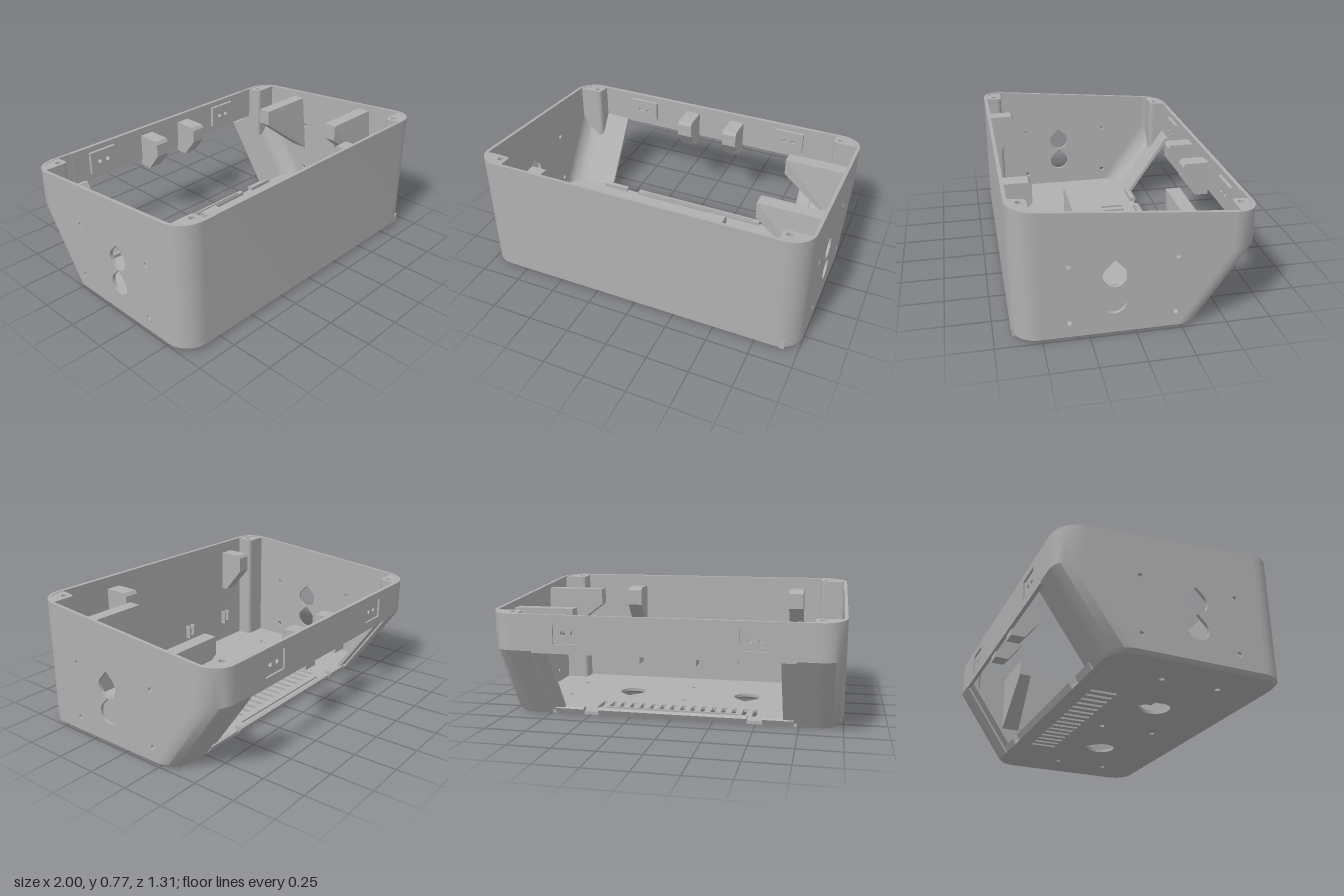
import * as THREE from 'three';
import { toCreasedNormals } from 'three/addons/utils/BufferGeometryUtils.js';
import { ConvexGeometry } from 'three/addons/geometries/ConvexGeometry.js';

const R = 0.14, T = 0.02, CX = 0.86, FZ = 0.515;
const topY = z => 0.7075 + z * 0.0878;                                // sloping rim
const backZ = y => -0.355 - 0.3 * Math.min(1, Math.max(0, y / 0.44)); // leaning back

export function createModel() {
  const model = new THREE.Group();
  const grey = new THREE.MeshStandardMaterial({ color: 0xb0b0b0, side: THREE.DoubleSide });
  grey.name = 'caseGrey';
  const add = (name, geometry, mirror = false) => {
    const mesh = new THREE.Mesh(geometry, grey);
    mesh.name = name;
    if (mirror) mesh.scale.x = -1;
    model.add(mesh);
    return mesh;
  };
  const both = (name, geometry) => { add(name + 'Left', geometry); add(name + 'Right', geometry, true); };
  const box = (name, x0, x1, y0, y1, z0, z1) =>
    add(name, new THREE.BoxGeometry(x1 - x0, y1 - y0, z1 - z0).translate((x0 + x1) / 2, (y0 + y1) / 2, (z0 + z1) / 2));
  const polygon = pts => new THREE.Shape(pts.map(p => new THREE.Vector2(...p)));
  const extrude = (shape, depth) =>
    new THREE.ExtrudeGeometry(shape, { depth, bevelEnabled: false, curveSegments: 12 });
  // (z, y) profile drawn out along x
  const alongX = (shape, x0, x1) => extrude(shape, x1 - x0).rotateY(-Math.PI / 2).translate(x1, 0, 0);
  const circle = (x, y, r) => new THREE.Path().absarc(x, y, r, 0, Math.PI * 2);
  const teardrop = (x, y, r) => {
    const p = new THREE.Path();
    p.absarc(x, y, r, Math.PI * 0.75, Math.PI * 2.25);
    p.lineTo(x, y + r * Math.SQRT2);
    p.closePath();
    return p;
  };
  const rect = (x0, x1, y0, y1) =>
    new THREE.Path([[x0, y0], [x1, y0], [x1, y1], [x0, y1], [x0, y0]].map(p => new THREE.Vector2(...p)));

  // Thin wall following a plan path, lofted through height levels
  const arc = (x, back, a0, a1, n = 12) => Array.from({ length: n + 1 }, (_, i) => {
    const a = a0 + (a1 - a0) * i / n;
    return { x, back, nx: Math.cos(a), nz: Math.sin(a) };
  });
  const wall = (path, levels) => {
    const point = (p, y, r) => {
      const level = y === 'top' ? 0.6 : y;
      const inset = level === 0 && r === R ? 0.02 : 0;
      const z = (p.back ? backZ(level) + R : FZ) + r * p.nz - inset * Math.max(p.nz, 0);
      return [p.x + r * p.nx - inset * p.nx, y === 'top' ? topY(z) : y, z];
    };
    const pos = [];
    const quad = (a, b, c, d) => pos.push(...a, ...b, ...c, ...a, ...c, ...d);
    const last = levels[levels.length - 1];
    for (let j = 0; j + 1 < levels.length; j++) {
      const [l, u] = [levels[j], levels[j + 1]];
      for (let i = 0; i + 1 < path.length; i++) {
        const [p, q] = [path[i], path[i + 1]];
        quad(point(p, l, R), point(p, u, R), point(q, u, R), point(q, l, R));
        quad(point(p, l, R - T), point(q, l, R - T), point(q, u, R - T), point(p, u, R - T));
      }
      for (const p of [path[0], path[path.length - 1]])
        quad(point(p, l, R), point(p, l, R - T), point(p, u, R - T), point(p, u, R));
    }
    for (let i = 0; i + 1 < path.length; i++) {
      const [p, q] = [path[i], path[i + 1]];
      quad(point(p, last, R), point(p, last, R - T), point(q, last, R - T), point(q, last, R));
    }
    const g = new THREE.BufferGeometry();
    g.setAttribute('position', new THREE.Float32BufferAttribute(pos, 3));
    return toCreasedNormals(g, 0.5);
  };

  // Outer shell: front with round corners, and back corners
  const H = Math.PI / 2;
  add('frontWall', wall([...arc(CX, false, 0, H), ...arc(-CX, false, H, 2 * H)], [0, 0.02, 'top']));
  // path reversed so outside faces stay outward
  both('backCorner', wall([{ x: 0.74, back: true, nx: 0, nz: -1 }, ...arc(CX, true, -H, 0)], [0, 0.02, 0.44, 'top']));
  both('sideChamfer', wall([{ x: CX, back: true, nx: 1, nz: 0 }, { x: CX, back: false, nx: 1, nz: 0 }], [0, 0.02]));

  // Side walls with teardrop and screw holes
  const side = polygon([[FZ, 0.02], [FZ, topY(FZ)], [backZ(1) + R, topY(backZ(1) + R)],
    [backZ(1) + R, 0.44], [backZ(0.02) + R, 0.02]]);
  side.holes.push(teardrop(0.12, 0.36, 0.065), teardrop(0.12, 0.2, 0.064));
  for (const z of [0.36, -0.21]) for (const y of [0.105, 0.44]) side.holes.push(circle(z, y, 0.014));
  both('sideWall', alongX(side, 0.98, 1));
  box('knockoutPanel', 0.974, 0.982, 0.125, 0.3, 0.045, 0.195);

  // Floor with vents, teardrops and screw holes (shape y is -z)
  const floor = new THREE.Shape();
  floor.absellipse(CX, 0.215, 0.12, 0.14, 0, H);
  floor.absellipse(-CX, 0.215, 0.12, 0.14, H, 2 * H);
  floor.absellipse(-CX, -FZ, 0.12, 0.12, 2 * H, 3 * H);
  floor.absellipse(CX, -FZ, 0.12, 0.12, 3 * H, 4 * H);
  for (const x of [-0.385, 0.385]) floor.holes.push(teardrop(x, -0.19, 0.083));
  for (const x of [-0.76, 0, 0.76]) for (const z of [0.025, 0.365]) floor.holes.push(circle(x, -z, 0.016));
  for (let i = 0; i < 16; i++) {
    const x = -0.48 + i * 0.064;
    floor.holes.push(rect(x - 0.013, x + 0.013, 0.105, 0.26));
  }
  add('floor', extrude(floor, 0.02).rotateX(-H));

  // Upper back wall with two recessed screw pads
  const back = polygon([[-0.74, 0.43], [0.74, 0.43], [0.74, 0.65], [-0.74, 0.65]]);
  for (const s of [-1, 1]) back.holes.push(rect(s * 0.525 - 0.085, s * 0.525 + 0.085, 0.485, 0.605));
  add('backWall', extrude(back, 0.022).translate(0, 0, -0.655));
  const pad = polygon([[0.43, 0.475], [0.62, 0.475], [0.62, 0.615], [0.43, 0.615]]);
  for (const x of [0.495, 0.555]) pad.holes.push(circle(x, 0.545, 0.014));
  both('screwPad', extrude(pad, 0.03).translate(0, 0, -0.643));

  // Frame of the leaning rear opening
  const strip = polygon([[backZ(0.02) + 0.015, 0.02], [backZ(0.44) + 0.015, 0.44],
    [backZ(0.44) + 0.04, 0.44], [backZ(0.02) + 0.04, 0.02]]);
  both('openingFrame', alongX(strip, 0.66, 0.745));
  const sill = polygon([[-0.33, 0.01], [-0.355, 0], [-0.375, 0.035], [-0.36, 0.045], [-0.33, 0.045]]);
  for (const [x0, x1] of [[-0.72, -0.54], [-0.45, 0.45], [0.54, 0.72]]) add('sill', alongX(sill, x0, x1));
  box('sillRidge', -0.4, 0.4, 0.02, 0.055, -0.345, -0.335);

  // Corner screw posts, cut to the rim and to the leaning wall
  const post = (name, sign) => {
    const s = new THREE.Shape();
    s.moveTo(0.83, 0.64);
    s.lineTo(0.83, 0.57);
    s.quadraticCurveTo(0.83, 0.54, 0.86, 0.54);
    s.lineTo(0.982, 0.54);
    s.absarc(CX, FZ, 0.125, 0.2, H);
    s.closePath();
    s.holes.push(circle(0.87, 0.58, 0.017));
    const g = extrude(s, 1).toNonIndexed ? extrude(s, 1) : null;
    const p = g.attributes.position;
    for (let i = 0; i < p.count; i++) {
      const x = p.getX(i), z = p.getY(i) * sign;
      const dx = Math.max(0, x - CX);
      const zb = z + Math.sqrt(Math.max(0, 0.125 ** 2 - dx * dx)) - R;
      const low = sign > 0 ? 0.01 : Math.min(0.5, (-zb - 0.355) * 0.44 / 0.3);
      p.setXYZ(i, x, p.getZ(i) > 0.5 ? topY(z) - 0.003 : low, z);
    }
    g.computeVertexNormals();
    both(name, g);
  };
  post('frontPost', 1);
  post('backPost', -1);

  // Wall hooks with sloping undersides
  const backHook = polygon([[-0.64, 0.6], [-0.49, 0.6], [-0.475, 0.58], [-0.475, 0.5], [-0.56, 0.39], [-0.64, 0.39]]);
  both('backHook', alongX(backHook, 0.112, 0.205));
  const frontHook = polygon([[0.64, 0.69], [0.49, 0.69], [0.475, 0.67], [0.475, 0.57], [0.6, 0.42], [0.64, 0.42]]);
  for (const x of [-0.72, 0.4]) add('frontHook', alongX(frontHook, x, x + 0.094));

  // Tapered support brackets on the left wall
  for (const [z, y] of [[-0.325, 0.64], [0.24, 0.7]]) {
    const pts = [];
    for (const dz of [0, 0.078]) {
      pts.push([0.61, y, z + dz], [0.985, y, z + dz], [0.61, y - 0.1, z + dz]);
      pts.push([0.985, y - 0.38, z + dz * 1.55]);
    }
    add('supportBracket', new ConvexGeometry(pts.map(p => new THREE.Vector3(...p))));
  }

  // Small cable clips and the corner cable notch
  for (const x of [-0.27, -0.665]) {
    box('cableClipBase', x, x + 0.058, 0.15, 0.175, 0.6, 0.64);
    box('cableClipArm', x, x + 0.014, 0.175, 0.24, 0.6, 0.64);
    box('cableClipArm', x + 0.044, x + 0.058, 0.175, 0.24, 0.6, 0.64);
  }
  const notch = polygon([[0.892, 0.012], [0.925, 0.012], [0.925, 0.07], [0.892, 0.055]]);
  add('cableNotch', extrude(notch, 0.009).translate(0, 0, 0.642));
  return model;
}
